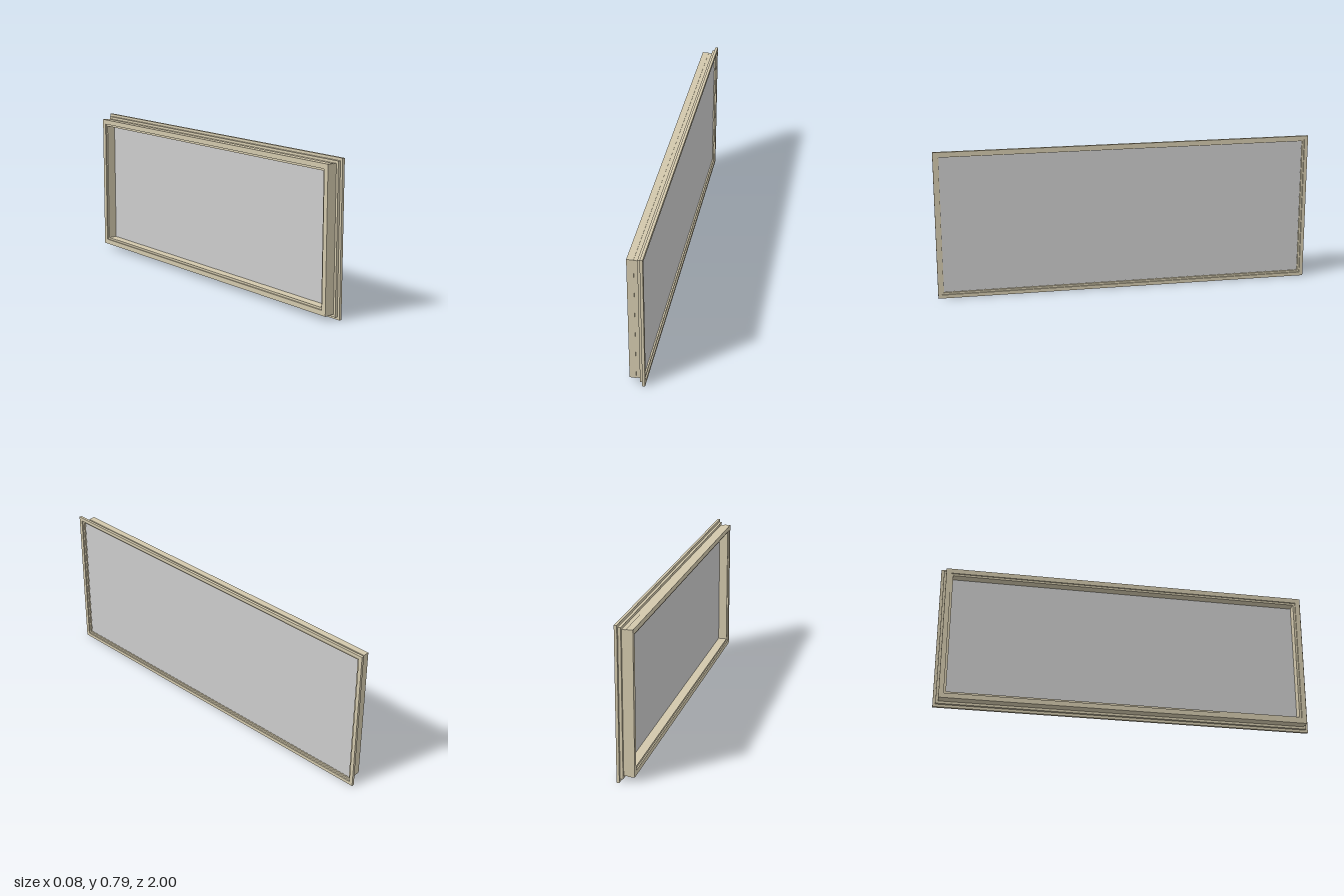
import * as THREE from 'three';

const H = 0.792, L = 2;
const frameMat = new THREE.MeshStandardMaterial({ color: 0xd2c8ac, flatShading: true });
const panelMat = new THREE.MeshStandardMaterial({ color: 0xcccccc, flatShading: true });

// Rectangle inset from the overall outline; shape x runs along the length
function corners(inset) {
  const a = L / 2 - inset, b = H / 2 - inset;
  return [[-a, -b], [a, -b], [a, b], [-a, b]].map(([x, y]) => new THREE.Vector2(x, y));
}

// Rectangular frame layer between x0 and x1
function ring(name, x0, x1, outer, inner) {
  const shape = new THREE.Shape(corners(outer));
  shape.holes.push(new THREE.Path(corners(inner).reverse()));
  const geo = new THREE.ExtrudeGeometry(shape, { depth: x1 - x0, bevelEnabled: false });
  geo.rotateY(Math.PI / 2);
  geo.translate(x0, H / 2, 0);
  const mesh = new THREE.Mesh(geo, frameMat);
  mesh.name = name;
  return mesh;
}

export function createModel() {
  const group = new THREE.Group();
  group.name = 'framedPanel';

  // Frame layers: name, x start, x end, outer inset, inner inset
  const layers = [
    ['backLip', -0.042, -0.035, 0.025, 0.051],
    ['frameBody', -0.035, -0.008, 0.025, 0.062],
    ['frameNeck', -0.008, 0.013, 0.027, 0.062],
    ['middleFlange', 0.013, 0.027, 0.014, 0.031],
    ['frontFlange', 0.027, 0.034, 0, 0.029],
    ['frontRim', 0.034, 0.041, 0, 0.019],
  ];
  for (const layer of layers) group.add(ring(...layer));

  // Pane held in the rebate
  const pane = new THREE.Mesh(new THREE.BoxGeometry(0.013, H - 0.062, L - 0.062), panelMat);
  pane.position.set(0.0195, H / 2, 0);
  pane.name = 'pane';
  group.add(pane);
  return group;
}
